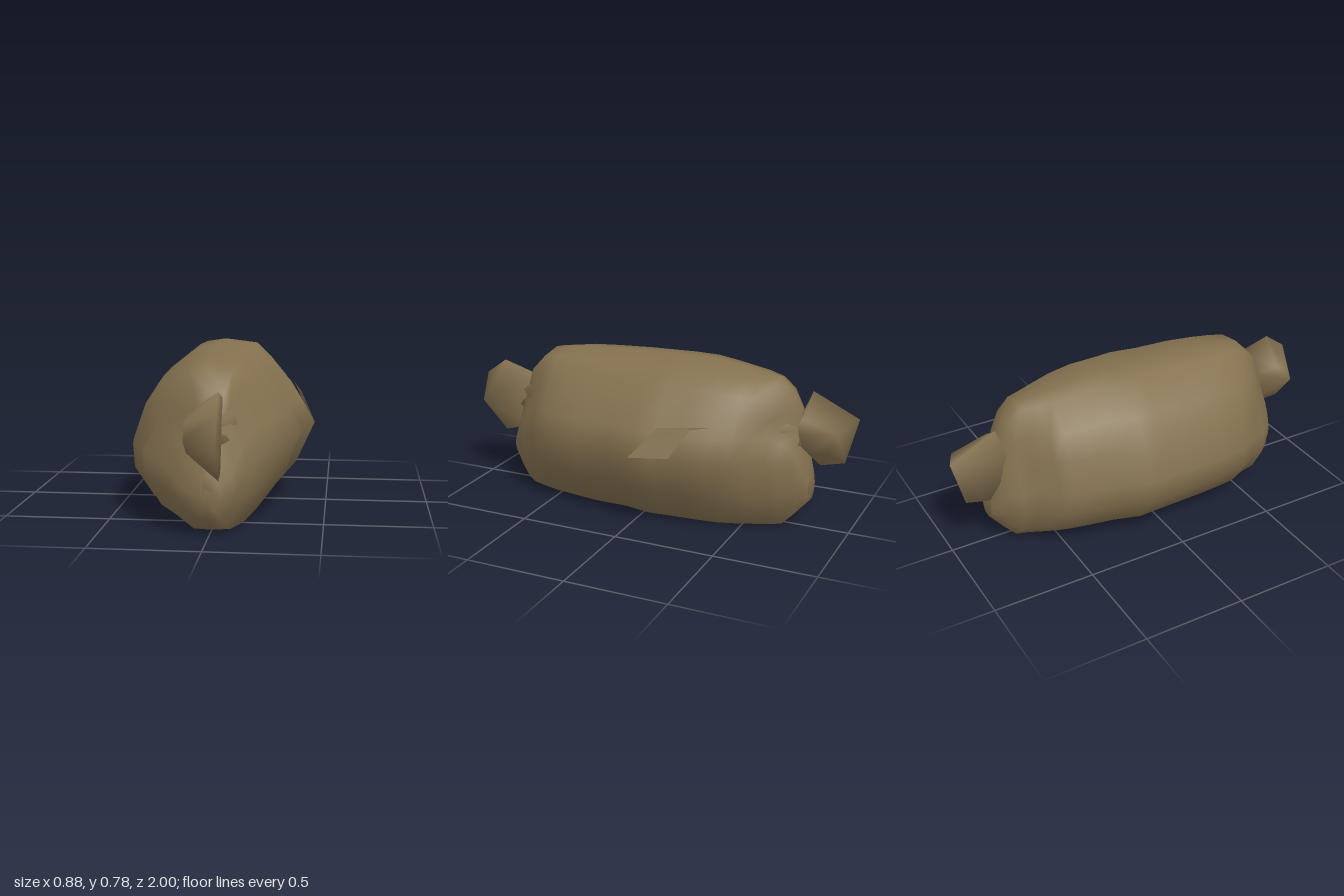
import * as THREE from 'three';

const cloth = new THREE.MeshStandardMaterial({ color: 0x84714f, side: THREE.DoubleSide });
cloth.name = 'brown cloth';

// Cross-section of the stuffed sack, clockwise seen from the front
const SECTION = [
  [-0.04, 0.785], [0.15, 0.765], [0.235, 0.69], [0.32, 0.6], [0.38, 0.5], [0.44, 0.39], [0.35, 0.19],
  [0.2, 0.01], [0, 0.002], [-0.15, 0.008], [-0.33, 0.1], [-0.43, 0.24], [-0.44, 0.36], [-0.38, 0.53],
  [-0.3, 0.65], [-0.15, 0.77],
];

// Stations: z, left half-width, right half-width, bottom, top
const STATIONS = [
  [0.8, 0, 0, 0.22, 0.22], [0.81, 0.06, 0.06, 0.13, 0.28], [0.765, 0.13, 0.12, 0.075, 0.4],
  [0.72, 0.18, 0.165, 0.03, 0.57], [0.68, 0.23, 0.195, 0.01, 0.65], [0.59, 0.32, 0.265, 0.008, 0.74],
  [0.51, 0.345, 0.31, 0.007, 0.75], [0.42, 0.4, 0.335, 0.006, 0.76], [0.28, 0.42, 0.38, 0.005, 0.768],
  [0.1, 0.43, 0.38, 0.004, 0.776], [-0.04, 0.435, 0.438, 0.003, 0.779], [-0.14, 0.44, 0.41, 0.002, 0.781],
  [-0.27, 0.385, 0.385, 0, 0.785], [-0.39, 0.355, 0.365, 0.002, 0.77], [-0.49, 0.325, 0.305, 0.004, 0.755],
  [-0.55, 0.3, 0.26, 0.006, 0.747], [-0.63, 0.21, 0.215, 0.01, 0.735], [-0.69, 0.19, 0.18, 0.02, 0.685],
  [-0.74, 0.145, 0.14, 0.07, 0.6], [-0.77, 0.11, 0.1, 0.105, 0.44], [-0.805, 0.06, 0.06, 0.145, 0.29],
  [-0.79, 0, 0, 0.22, 0.22],
];

function meshFrom(name, positions, index) {
  const geometry = new THREE.BufferGeometry();
  geometry.setAttribute('position', new THREE.Float32BufferAttribute(positions, 3));
  geometry.setIndex(index);
  geometry.computeVertexNormals();
  const mesh = new THREE.Mesh(geometry, cloth);
  mesh.name = name;
  return mesh;
}

function sackBody() {
  const positions = [], index = [], n = SECTION.length;
  for (const [z, left, right, bottom, top] of STATIONS) {
    // The cloth is drawn in at tie height towards both ends
    const nearTie = THREE.MathUtils.clamp((Math.abs(z) - 0.52) / 0.18, 0, 1);
    for (const [sx, sy] of SECTION) {
      const y = bottom + (sy / 0.785) * (top - bottom);
      const pinch = 1 - 0.32 * nearTie * Math.exp(-(((y - 0.51) / 0.1) ** 2));
      positions.push((sx / 0.44) * (sx < 0 ? left : right) * pinch, y, z);
    }
  }
  for (let i = 0; i < STATIONS.length - 1; i++) {
    for (let j = 0; j < n; j++) {
      const a = i * n + j, b = i * n + (j + 1) % n;
      index.push(a, b, a + n, b, b + n, a + n);
    }
  }
  return meshFrom('sackBody', positions, index);
}

// Tied-off tuft: a wide side outline shrinking towards a narrower one
function tiedEnd(name, outline, xWide, xNarrow, pivotZ, scaleZ) {
  const positions = [], index = [], n = outline.length;
  for (const [z, y] of outline) positions.push(xWide, y, z);
  for (const [z, y] of outline) positions.push(xNarrow, 0.48 + (y - 0.48) * 0.45, pivotZ + (z - pivotZ) * scaleZ);
  for (let j = 0; j < n; j++) {
    const k = (j + 1) % n;
    index.push(j, j + n, k, k, j + n, k + n);
    if (j > 0 && j < n - 1) index.push(0, j, j + 1, n, n + j + 1, n + j);
  }
  return meshFrom(name, positions, index);
}

// Gathered folds: flattened wedges running from the sack shoulders into the tie
function gathers(name, side) {
  const group = new THREE.Group();
  group.name = name;
  const roots = [
    [-0.08, 0.6, 0.64], [0.07, 0.62, 0.63], [0.11, 0.53, 0.66],
    [0.08, 0.4, 0.7], [-0.11, 0.53, 0.66], [-0.08, 0.41, 0.7],
  ];
  roots.forEach(([x, y, z], i) => {
    const across = new THREE.Vector2(-(y - 0.49), x).setLength(0.045);
    const positions = [
      0, 0.49, 0.79 * side,
      (x + across.x) * side, y + across.y, z * side,
      (x - across.x) * side, y - across.y, z * side,
      x * 0.7 * side, 0.49 + (y - 0.49) * 0.7, (z + 0.07) * side,
    ];
    group.add(meshFrom('gather' + i, positions, [0, 1, 3, 0, 3, 2, 1, 2, 3]));
  });
  // Hanging fold below the tie
  group.add(meshFrom('hangingFold',
    [-0.08 * side, 0.28, 0.77 * side, -0.03 * side, 0.15, 0.8 * side,
      -0.022 * side, 0.41, 0.75 * side, -0.025 * side, 0.27, 0.815 * side],
    [0, 1, 3, 0, 3, 2, 3, 1, 2]));
  return group;
}

export function createModel() {
  const model = new THREE.Group();
  model.name = 'tiedSack';
  model.add(sackBody());
  model.add(tiedEnd('frontTie',
    [[1.0, 0.42], [0.96, 0.58], [0.85, 0.66], [0.68, 0.61], [0.72, 0.32], [0.86, 0.275]],
    0.055, -0.09, 0.74, 0.68));
  model.add(tiedEnd('backTie',
    [[-1.0, 0.55], [-0.94, 0.32], [-0.82, 0.29], [-0.7, 0.46], [-0.77, 0.66]],
    -0.09, 0.055, -0.74, 0.76));
  model.add(gathers('frontGathers', 1), gathers('backGathers', -1));
  // Loose flap on the left side
  model.add(meshFrom('sideFlap',
    [0.44, 0.39, -0.04, 0.365, 0.53, -0.16, 0.315, 0.55, -0.4, 0.335, 0.53, -0.31, 0.4, 0.4, -0.23],
    [0, 4, 3, 0, 3, 1, 1, 3, 2]));
  return model;
}
